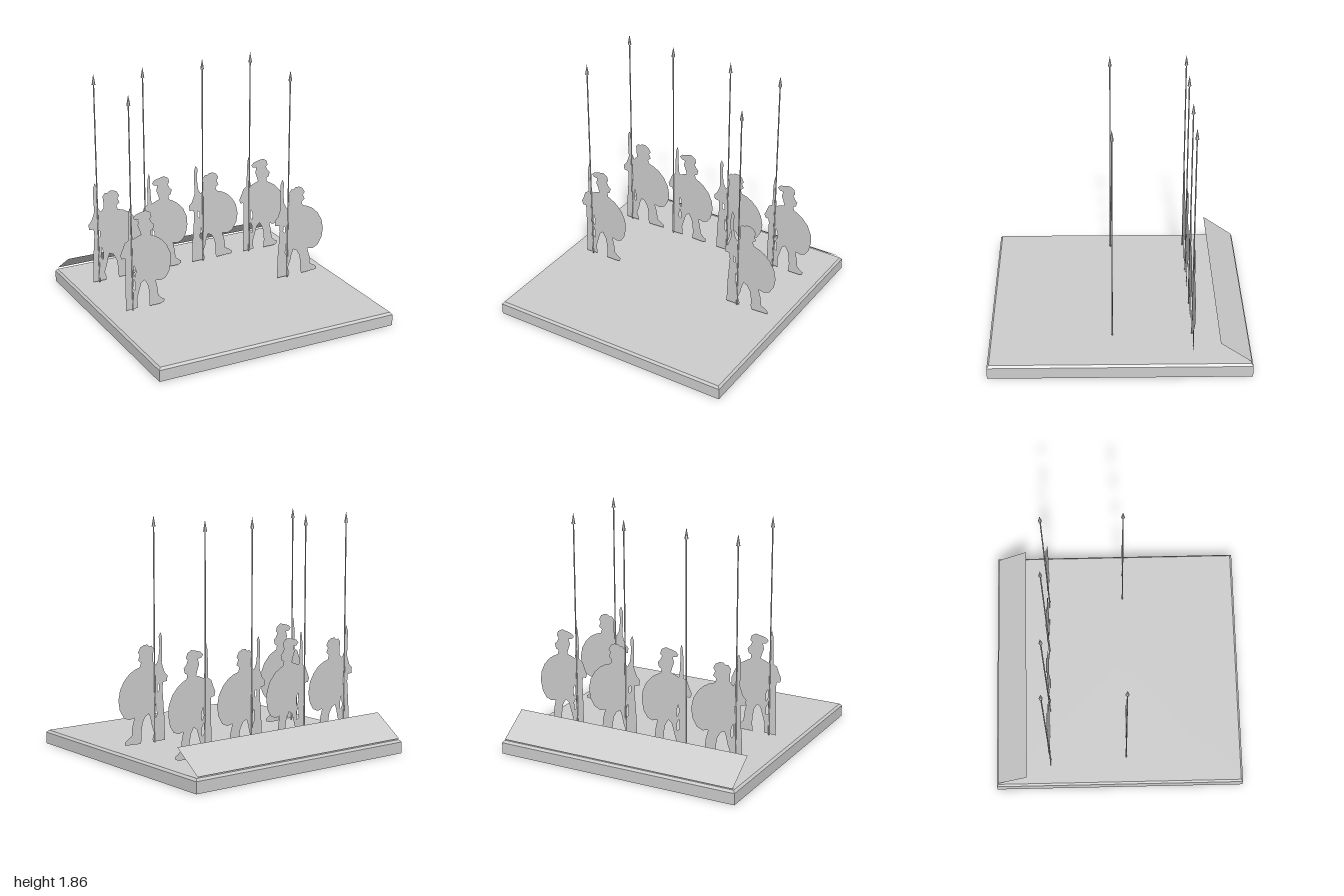
import * as THREE from 'three';

const grey = new THREE.MeshStandardMaterial({ color: 0xcccccc });
grey.name = 'plain grey';
const greySheet = new THREE.MeshStandardMaterial({ color: 0xcccccc, side: THREE.DoubleSide });
greySheet.name = 'plain grey sheet';

// Outlines are x, y pairs in fine units; y grows downwards from the ground line at 399.
const UNIT = 187;
const GROUND = 399;

const crested = {
  centre: 200,
  outline: [
    // short spear and shoulder
    175, 217, 177, 224, 177, 240, 178, 258, 179, 266, 186, 263, 192, 261,
    // helmet, crest and face
    190, 254, 187, 246, 189, 238, 183, 237, 180, 233, 184, 229, 191, 227, 200, 225, 207, 229,
    209, 236, 206, 239, 209, 245, 213, 249, 211, 256, 207, 258, 208, 264,
    // shield
    214, 267, 222, 272, 232, 283, 238, 297, 239, 311, 236, 326, 230, 335, 222, 338, 214, 336,
    // legs and feet
    217, 350, 218, 361, 223, 366, 228, 369, 227, 373, 221, 375, 203, 375,
    204, 362, 203, 350, 201, 340, 196, 332, 191, 336, 188, 346, 184, 360, 185, 374, 166, 375,
    // arm holding the spear
    166, 345, 167, 300, 166, 293, 161, 293, 159, 287, 163, 278, 166, 270, 172, 266, 172, 240, 173, 225,
  ],
  holes: [
    [180, 306, 183, 315, 182, 325, 179, 318],
    [179, 328, 182, 334, 182, 346, 178, 343],
  ],
};

const plain = {
  centre: 285,
  outline: [
    // short spear and shoulder
    254, 217, 257, 223, 256, 240, 258, 256, 262, 264, 267, 259,
    // rounded helmet and face
    267, 248, 266, 240, 270, 235, 274, 236, 277, 233, 283, 233, 289, 236, 293, 243, 290, 247,
    293, 254, 288, 258, 290, 264,
    // shield
    299, 267, 308, 272, 317, 281, 324, 293, 327, 308, 325, 322, 318, 334, 309, 338, 300, 336,
    // legs and feet
    304, 350, 305, 362, 312, 366, 317, 370, 316, 374, 290, 375, 288, 370, 288, 357, 286, 345,
    281, 336, 275, 333, 272, 341, 270, 351, 266, 362, 269, 371, 268, 375, 247, 375,
    // arm holding the spear
    248, 340, 251, 300, 250, 290, 243, 289, 242, 281, 247, 276, 250, 268, 252, 262, 251, 240, 251, 225,
  ],
  holes: [
    [257, 292, 260, 294, 260, 304, 257, 301],
    [262, 320, 265, 330, 264, 342, 261, 336],
  ],
};

function toPoints(pairs, centre) {
  const points = [];
  for (let i = 0; i < pairs.length; i += 2) {
    points.push(new THREE.Vector2((pairs[i] - centre) / UNIT, (GROUND - pairs[i + 1]) / UNIT));
  }
  return points;
}

function soldierGeometry({ outline, holes, centre }) {
  const shape = new THREE.Shape(toPoints(outline, centre));
  shape.holes = holes.map((h) => new THREE.Path(toPoints(h, centre)));
  return new THREE.ShapeGeometry(shape);
}

function faceted(geometry) {
  const g = geometry.toNonIndexed();
  g.computeVertexNormals();
  return g;
}

function add(parent, name, geometry, material, x = 0, y = 0, z = 0) {
  const mesh = new THREE.Mesh(geometry, material);
  mesh.name = name;
  mesh.position.set(x, y, z);
  parent.add(mesh);
  return mesh;
}

export function createModel() {
  const model = new THREE.Group();
  model.name = 'spearmenOnBase';

  // Square base with a small bevel round the top
  const r = Math.SQRT2;
  const profile = [[0, 0], [r, 0], [r, 0.09], [r * 0.985, 0.108], [0, 0.108]]
    .map(([x, y]) => new THREE.Vector2(x, y));
  add(model, 'base', faceted(new THREE.LatheGeometry(profile, 4, Math.PI / 4)), grey);

  // Sloping panel along the back edge
  const rise = 0.168, run = 0.24;
  const panel = add(model, 'backPanel', new THREE.PlaneGeometry(1.96, Math.hypot(rise, run)),
    greySheet, 0, 0.118 + rise / 2, -0.87);
  panel.rotation.x = Math.atan2(run, rise);

  // Flat soldiers, each with a long spear
  const plainGeometry = soldierGeometry(plain);
  const crestedGeometry = soldierGeometry(crested);
  const shaft = new THREE.CylinderGeometry(0.005, 0.005, 1.67, 6);
  const head = faceted(new THREE.ConeGeometry(0.015, 0.085, 6));

  const backRow = -0.56, frontRow = 0.055;
  const soldiers = [
    // geometry, figure x, spear x, z
    [plainGeometry, -0.642, -0.79, backRow],
    [crestedGeometry, -0.203, -0.375, backRow],
    [plainGeometry, 0.251, 0.148, backRow],
    [crestedGeometry, 0.711, 0.585, backRow],
    [crestedGeometry, -0.652, -0.775, frontRow],
    [plainGeometry, 0.711, 0.602, frontRow],
  ];
  for (const [geometry, x, spearX, z] of soldiers) {
    const soldier = new THREE.Group();
    soldier.name = 'soldier';
    add(soldier, 'figure', geometry, greySheet, x, 0, z);
    add(soldier, 'spearShaft', shaft, grey, spearX, 0.955, z);
    add(soldier, 'spearHead', head, grey, spearX, 1.822, z);
    model.add(soldier);
  }
  return model;
}
